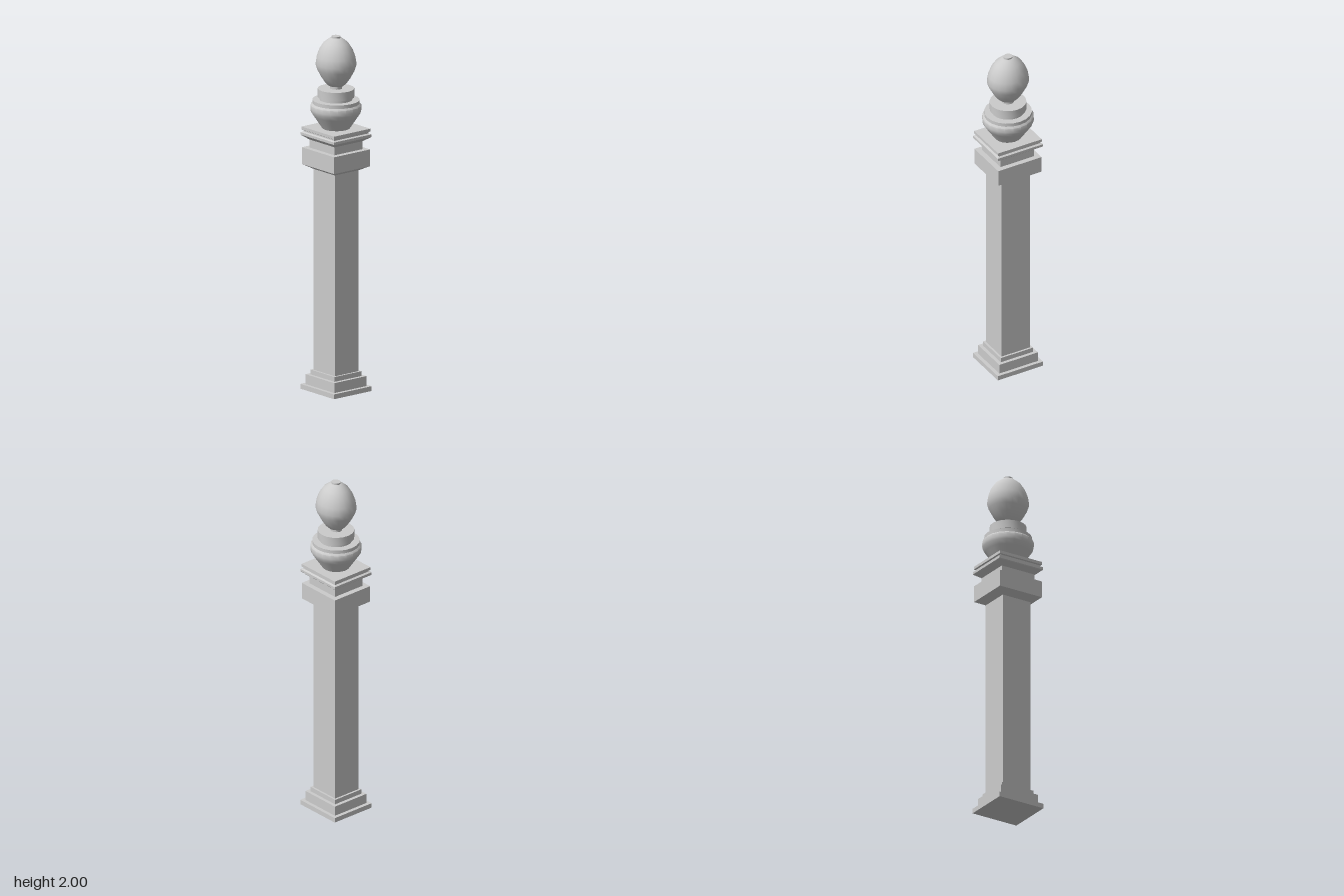
import * as THREE from 'three';
import { toCreasedNormals } from 'three/addons/utils/BufferGeometryUtils.js';

const material = new THREE.MeshStandardMaterial({ color: 0xcccccc });

// Closed profile of [half width, height] pairs, swept around the y axis.
function sweep(name, profile, sides, phase, widen, depth, crease) {
  const first = profile[0], last = profile[profile.length - 1];
  const points = [[0, first[1]], ...profile, [0, last[1]]]
    .map(([r, y]) => new THREE.Vector2(r * widen, y));
  const lathe = new THREE.LatheGeometry(points, sides, phase);
  lathe.scale(1, 1, depth);
  const mesh = new THREE.Mesh(toCreasedNormals(lathe, crease), material);
  mesh.name = name;
  return mesh;
}

// Rectangular mouldings are four-sided sweeps with the corners on the diagonals.
const square = (name, profile) =>
  sweep(name, profile, 4, Math.PI / 4, Math.SQRT2, 0.935, 0.1);
const round = (name, profile, depth) =>
  sweep(name, profile, 20, 0, 1, depth, 0.75);

export function createModel() {
  const post = new THREE.Group();
  post.name = 'post';

  // Stepped foot
  post.add(square('base', [
    [0.143, 0], [0.143, 0.027], [0.122, 0.027], [0.122, 0.083],
    [0.102, 0.083], [0.102, 0.11],
  ]));

  post.add(square('shaft', [[0.09, 0.11], [0.09, 1.245]]));

  // Capital block with a chamfered underside and a recessed neck
  post.add(square('capital', [
    [0.09, 1.245], [0.137, 1.27], [0.137, 1.365], [0.106, 1.365], [0.106, 1.41],
  ]));

  // Two thin slabs separated by a groove
  post.add(square('cornice', [
    [0.106, 1.41], [0.138, 1.432], [0.142, 1.436], [0.142, 1.45],
    [0.13, 1.455], [0.13, 1.462], [0.138, 1.466], [0.138, 1.482],
  ]));

  // Bowl with a rounded shoulder and a lip
  post.add(round('urn', [
    [0.078, 1.482], [0.1, 1.515], [0.125, 1.552], [0.14, 1.575], [0.143, 1.59],
    [0.142, 1.612], [0.132, 1.622], [0.132, 1.642],
  ], 0.97));

  post.add(round('collar', [
    [0.09, 1.642], [0.09, 1.657], [0.101, 1.657], [0.101, 1.705],
  ], 0.99));

  post.add(round('neck', [[0.035, 1.705], [0.035, 1.73]], 0.92));

  // Egg-shaped finial with a small flat tip
  post.add(round('finial', [
    [0.045, 1.722], [0.062, 1.737], [0.085, 1.769], [0.108, 1.81], [0.119, 1.843],
    [0.112, 1.885], [0.097, 1.925], [0.072, 1.962], [0.037, 1.988],
    [0.026, 1.991], [0.026, 2],
  ], 0.91));

  return post;
}
